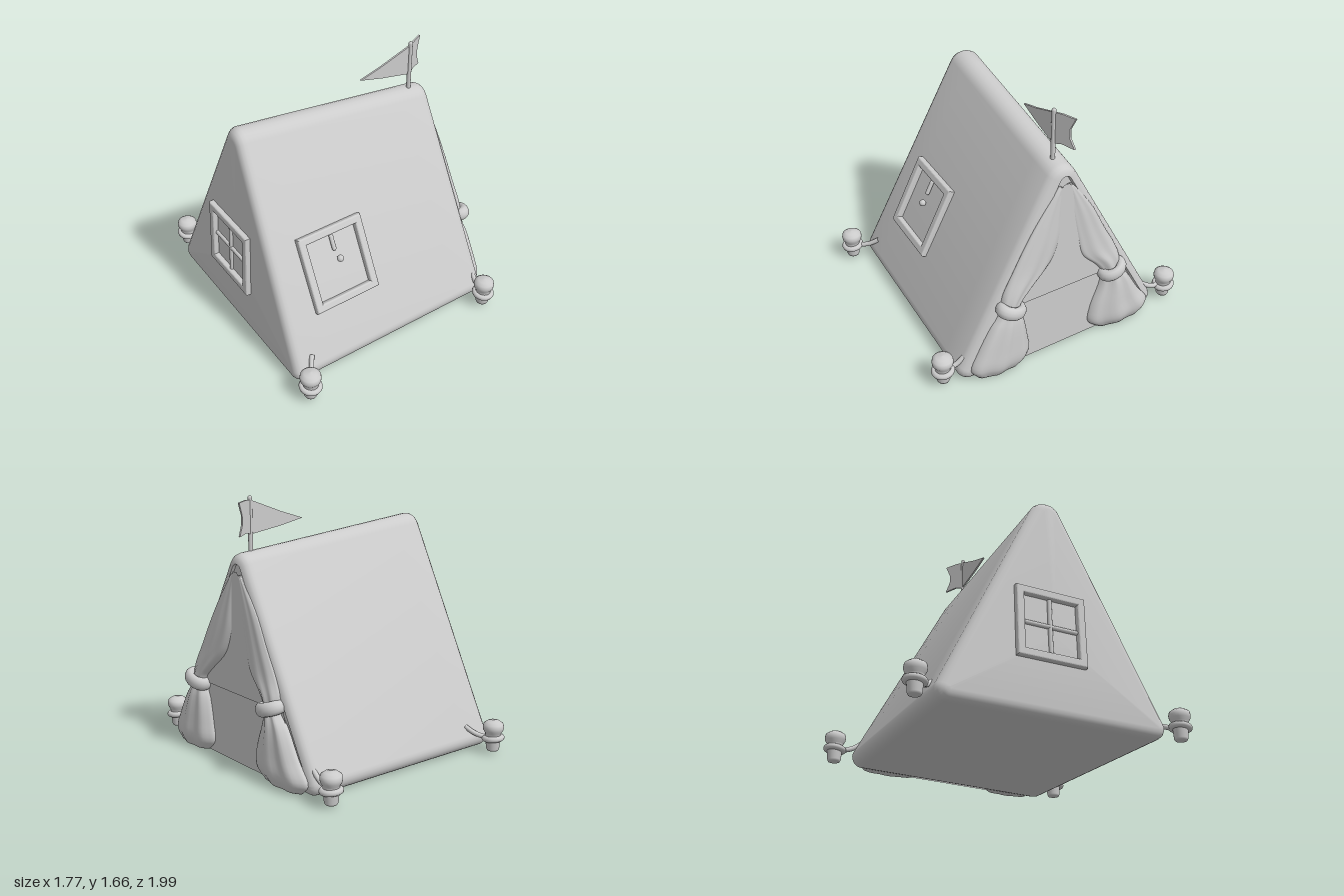
import * as THREE from 'three';
import { toCreasedNormals } from 'three/addons/utils/BufferGeometryUtils.js';

const V = (x, y, z) => new THREE.Vector3(x, y, z);
// sharp corners of the two triangular ends: front base, back base, apex
const LEFT = [V(-0.83, 0, 0.67), V(-0.57, 0, -0.88), V(-0.64, 1.57, -0.11)];
const RIGHT = [V(0.66, 0, 0.885), V(0.825, 0, -0.635), V(0.725, 1.44, 0.13)];
const RADII = [0.07, 0.07, 0.1];

// x of an end wall at a given height and depth
function wallX(tri, y, z) {
  const p = new THREE.Plane().setFromCoplanarPoints(...tri);
  return -(p.normal.y * y + p.normal.z * z + p.constant) / p.normal.x;
}

// rounded triangle, shrunk by inset and shifted along x
function endRing(tri, shift, inset) {
  const ring = [];
  const flat = tri.map((p) => new THREE.Vector2(p.z, p.y));
  flat.forEach((p, i) => {
    const a = flat[(i + 2) % 3].clone().sub(p).normalize();
    const b = flat[(i + 1) % 3].clone().sub(p).normalize();
    const half = Math.acos(a.dot(b)) / 2;
    const bis = a.clone().add(b).normalize();
    const c = p.clone().addScaledVector(bis, RADII[i] / Math.sin(half));
    const mid = Math.atan2(-bis.y, -bis.x), sweep = Math.PI / 2 - half;
    for (let k = 0; k <= 8; k++) {
      const t = mid - sweep * (k / 4 - 1), r = RADII[i] - inset;
      const z = c.x + r * Math.cos(t), y = c.y + r * Math.sin(t);
      ring.push(V(wallX(tri, y, z) + shift, y, z));
    }
  });
  return ring;
}

// skin through rings of equal length, closed at both ends
function loft(rings) {
  const n = rings[0].length, pos = [], idx = [];
  rings.forEach((r) => r.forEach((p) => pos.push(p.x, p.y, p.z)));
  for (let j = 0; j < rings.length - 1; j++) {
    for (let i = 0; i < n; i++) {
      const a = j * n + i, b = j * n + (i + 1) % n;
      idx.push(a, b, a + n, b, b + n, a + n);
    }
  }
  [0, rings.length - 1].forEach((j) => {
    const c = V(0, 0, 0);
    rings[j].forEach((p) => c.addScaledVector(p, 1 / n));
    const ci = pos.length / 3;
    pos.push(c.x, c.y, c.z);
    for (let i = 0; i < n; i++) {
      const a = j * n + i, b = j * n + (i + 1) % n;
      if (j) idx.push(a, b, ci); else idx.push(b, a, ci);
    }
  });
  const g = new THREE.BufferGeometry();
  g.setAttribute('position', new THREE.Float32BufferAttribute(pos, 3));
  g.setIndex(idx);
  g.computeVertexNormals();
  return g;
}

export function createModel() {
  const model = new THREE.Group();
  const clay = new THREE.MeshStandardMaterial({ color: 0xcccccc, side: THREE.DoubleSide });
  clay.name = 'light grey clay';
  const add = (name, geo, parent = model) => {
    const m = new THREE.Mesh(geo, clay);
    m.name = name;
    parent.add(m);
    return m;
  };

  // tent body with rounded ends and a shallow recess at the doorway end
  const rings = [], F = 0.06;
  for (let k = 0; k <= 4; k++) {
    const t = k / 4 * Math.PI / 2;
    rings.push(endRing(LEFT, F * (1 - Math.cos(t)), F * (1 - Math.sin(t))));
  }
  const from = rings[4], to = endRing(RIGHT, -F, 0);
  for (let k = 1; k < 8; k++) rings.push(from.map((p, i) => p.clone().lerp(to[i], k / 8)));
  for (let k = 0; k <= 4; k++) {
    const t = k / 4 * Math.PI / 2;
    rings.push(endRing(RIGHT, -F * (1 - Math.sin(t)), F * (1 - Math.cos(t))));
  }
  rings.push(endRing(RIGHT, -0.02, 0.065));
  add('tentBody', toCreasedNormals(loft(rings), 0.8));

  // cloth sheets over and in the doorway: outline in z and y, distance from the wall
  const sheet = (name, outline, off) => {
    const g = new THREE.ShapeGeometry(new THREE.Shape(outline.map(([z, y]) => new THREE.Vector2(z, y))));
    const p = g.attributes.position;
    for (let i = 0; i < p.count; i++) {
      const z = p.getX(i), y = p.getY(i);
      p.setXYZ(i, wallX(RIGHT, y, z) + off, y, z);
    }
    g.computeVertexNormals();
    add(name, g);
  };
  sheet('doorTopPanel', [[0.56, 0.46], [-0.31, 0.46], [0.11, 1.22], [0.15, 1.22]], 0.01);
  sheet('doorLowerPanel', [[0.56, 0.46], [-0.31, 0.46], [-0.45, 0.01], [0.7, 0.01]], 0.002);

  // gathered curtains: rows of height, inner z, outer z, depth
  const curtain = (name, rows) => {
    const shape = new THREE.CatmullRomCurve3(rows.map(([y, a, b]) => V((a + b) / 2, y, Math.abs(a - b) / 2)));
    const depth = new THREE.CatmullRomCurve3(rows.map(([y, , , d]) => V(d, y, 0)));
    const loops = [];
    for (let j = 0; j <= 40; j++) {
      const s = shape.getPoint(j / 40), d = depth.getPoint(j / 40).x, loop = [];
      for (let i = 0; i < 40; i++) {
        const a = i / 40 * Math.PI * 2, sn = Math.sin(a), z = s.x - s.z * Math.cos(a);
        const out = sn > 0 ? d * sn * (1 + 0.1 * Math.cos(7 * a)) : 0.03 * sn;
        loop.push(V(wallX(RIGHT, s.y, z) + out, s.y, z));
      }
      loops.push(loop);
    }
    add(name, loft(loops));
  };
  curtain('frontCurtain', [[1.2, 0.15, 0.18, 0.008], [1.0, 0.16, 0.32, 0.022], [0.85, 0.17, 0.41, 0.032],
    [0.7, 0.23, 0.49, 0.04], [0.58, 0.36, 0.55, 0.05], [0.5, 0.44, 0.57, 0.055], [0.44, 0.45, 0.58, 0.055],
    [0.36, 0.42, 0.64, 0.07], [0.2, 0.39, 0.73, 0.08], [0.08, 0.38, 0.78, 0.08], [0.01, 0.44, 0.74, 0.05]]);
  curtain('backCurtain', [[1.2, 0.11, 0.08, 0.008], [1.0, 0.08, -0.06, 0.018], [0.8, 0.04, -0.16, 0.025],
    [0.65, 0, -0.24, 0.035], [0.54, -0.1, -0.28, 0.05], [0.46, -0.15, -0.28, 0.055], [0.37, -0.14, -0.35, 0.07],
    [0.2, -0.08, -0.45, 0.08], [0.08, -0.07, -0.53, 0.08], [0.01, -0.14, -0.48, 0.05]]);

  // curtain ties
  [['frontTie', 0.515, -0.35], ['backTie', -0.215, 0.3]].forEach(([name, z, tilt]) => {
    const g = new THREE.TorusGeometry(0.066, 0.036, 12, 32).rotateX(Math.PI / 2);
    g.scale(0.8, 1.2, 1).rotateX(tilt);
    add(name, g).position.set(wallX(RIGHT, 0.47, z) + 0.025, 0.47, z);
  });

  // windows: bevelled frame with bars, laid on a wall
  const rect = (path, w, h) => path.moveTo(-w, -h).lineTo(w, -h).lineTo(w, h).lineTo(-w, h).closePath();
  const windowOn = (name, w, h, centre, right, up, cross) => {
    const win = new THREE.Group();
    win.name = name;
    const s = rect(new THREE.Shape(), w / 2 - 0.01, h / 2 - 0.01);
    s.holes.push(rect(new THREE.Path(), w / 2 - 0.04, h / 2 - 0.04));
    add('windowFrame', new THREE.ExtrudeGeometry(s, { depth: 0.03, bevelSize: 0.01, bevelThickness: 0.01, bevelSegments: 3 }), win)
      .position.z = cross ? -0.006 : -0.018;
    const bar = (length, y, turn) => {
      const m = add('windowBar', new THREE.CapsuleGeometry(0.014, length, 6, 12), win);
      m.position.set(0, y, 0.004);
      m.rotation.z = turn;
    };
    if (cross) {
      bar(h - 0.09, 0, 0);
      bar(w - 0.09, 0, Math.PI / 2);
    } else {
      bar(0.08, 0.14, 0);
      add('windowKnob', new THREE.SphereGeometry(0.022, 16, 12), win).position.set(0.015, 0.03, 0.02);
    }
    const r = right.normalize(), n = r.clone().cross(up).normalize();
    win.quaternion.setFromRotationMatrix(new THREE.Matrix4().makeBasis(r, n.clone().cross(r), n));
    win.position.copy(centre);
    model.add(win);
  };
  windowOn('slopeWindow', 0.465, 0.49, V(-0.318, 0.595, 0.45), RIGHT[0].clone().sub(LEFT[0]), V(0.07, 0.89, -0.44), false);
  windowOn('endWindow', 0.46, 0.45, V(wallX(LEFT, 0.56, -0.15), 0.56, -0.15), LEFT[0].clone().sub(LEFT[1]),
    LEFT[2].clone().sub(LEFT[0].clone().lerp(LEFT[1], 0.5)), true);

  // ground pegs with rope loops: peg x, z and rope end x, z
  const profile = [[0, 0.015], [0.036, 0.018], [0.042, 0.03], [0.05, 0.125], [0.052, 0.135], [0.064, 0.155], [0.067, 0.175],
    [0.062, 0.196], [0.04, 0.212], [0, 0.218]].map(([r, y]) => new THREE.Vector2(r, y));
  [[-0.815, 0.735, -0.68, 0.6], [0.575, 0.92, 0.61, 0.79], [0.805, -0.7, 0.77, -0.53], [-0.475, -0.93, -0.39, -0.77]]
    .forEach(([x, z, ex, ez]) => {
      const peg = new THREE.Group();
      peg.name = 'peg';
      add('pegBody', new THREE.LatheGeometry(profile, 28), peg);
      add('pegRope', new THREE.TorusGeometry(0.054, 0.019, 10, 28).rotateX(Math.PI / 2 + 0.12), peg).position.y = 0.1;
      const dx = ex - x, dz = ez - z;
      const path = new THREE.CatmullRomCurve3([V(dx * 0.3, 0.1, dz * 0.3), V(dx * 0.65, 0.12, dz * 0.65), V(dx, 0.16, dz)]);
      add('guyRope', new THREE.TubeGeometry(path, 12, 0.016, 10), peg);
      peg.position.set(x, 0, z);
      model.add(peg);
    });

  // flagpole and two-part flag
  add('flagPole', new THREE.CapsuleGeometry(0.014, 0.36, 6, 16)).position.set(0.605, 1.466, 0.13);
  const cloth = (name, points, slope) => {
    const g = new THREE.ExtrudeGeometry(new THREE.Shape(points.map(([x, y]) => new THREE.Vector2(x, y))),
      { depth: 0.012, bevelEnabled: false });
    const p = g.attributes.position;
    for (let i = 0; i < p.count; i++) p.setZ(i, p.getZ(i) + 0.122 - slope * (p.getX(i) - 0.605));
    g.computeVertexNormals();
    add(name, g);
  };
  // the pennant swings back to the left, the tail back to the right
  cloth('pennant', [[0.245, 1.495], [0.4, 1.462], [0.605, 1.43], [0.605, 1.635], [0.52, 1.6], [0.4, 1.55]], -0.21);
  cloth('swallowTail', [[0.605, 1.43], [0.66, 1.445], [0.74, 1.435], [0.708, 1.5], [0.708, 1.56], [0.74, 1.635], [0.66, 1.64], [0.605, 1.635]], 0.35);

  return model;
}
